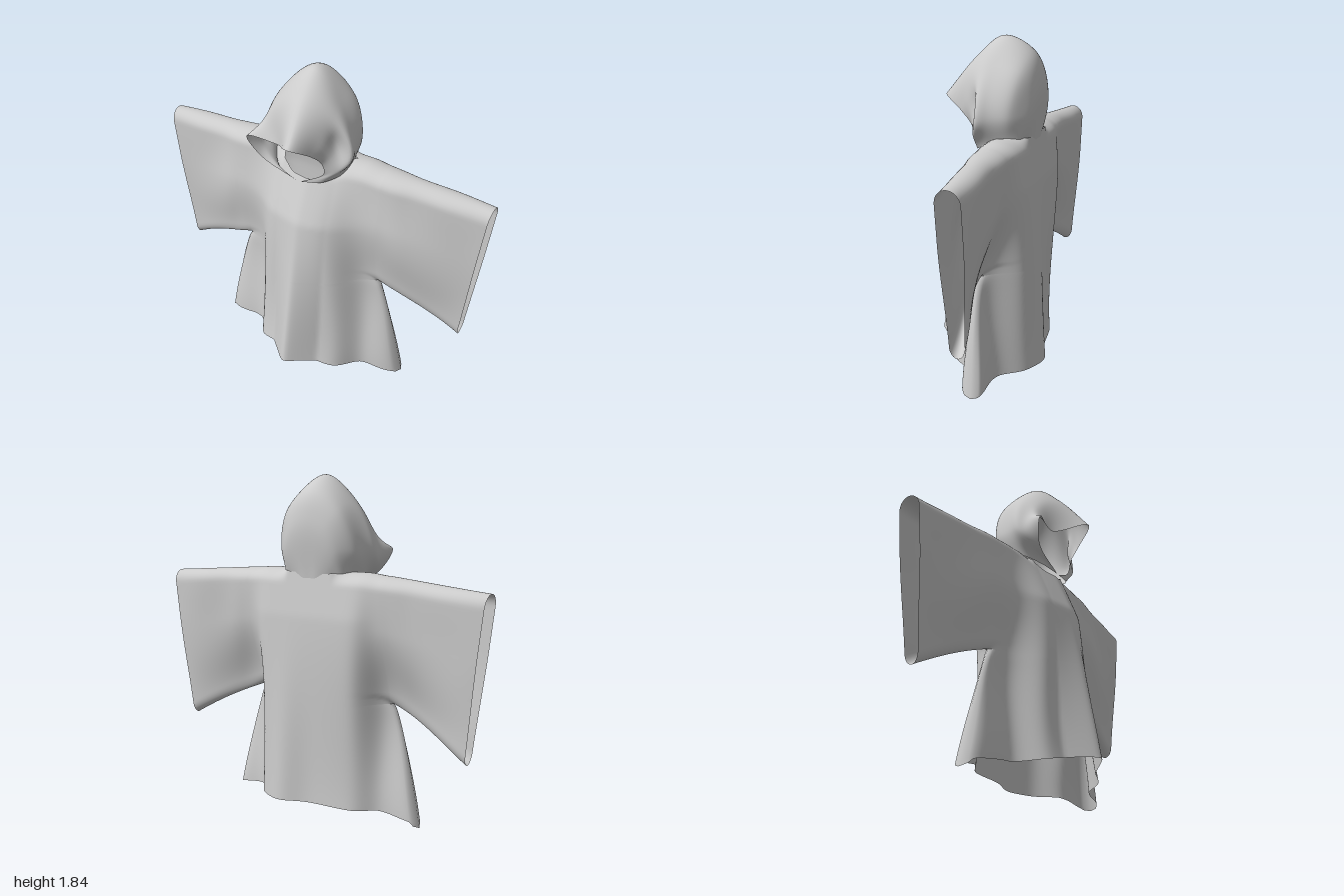
import * as THREE from 'three';
import { mergeGeometries, mergeVertices } from 'three/addons/utils/BufferGeometryUtils.js';

const { lerp, smoothstep, clamp } = THREE.MathUtils;
const ARMPIT_X = 0.43, ARMPIT_Y = 0.65, NECK = 0.24;
const CORE = 80, SLEEVE = 22; // columns across the torso and along one sleeve

// Grid surface from a point function of (column, row)
function grid(nu, nv, point, flip = false) {
  const pos = [], idx = [];
  for (let j = 0; j <= nv; j++) for (let i = 0; i <= nu; i++) pos.push(...point(i, j));
  for (let j = 0; j < nv; j++) for (let i = 0; i < nu; i++) {
    const a = j * (nu + 1) + i, b = a + 1, c = a + nu + 1, d = c + 1;
    if (flip) idx.push(a, c, b, b, c, d);
    else idx.push(a, b, c, b, d, c);
  }
  const g = new THREE.BufferGeometry();
  g.setAttribute('position', new THREE.Float32BufferAttribute(pos, 3));
  g.setIndex(idx);
  return g;
}

// Quarter-round closing of the cloth within r of a fold
const roundEdge = (d, r) => Math.sqrt(Math.max(0, 1 - Math.max(0, 1 - d / r) ** 2));

// Depth of the cloth: flat sleeves and side flaps with a full torso between them
function depth(x, y, half, edge, side) {
  const ax = Math.abs(x);
  const mid = lerp(lerp(-0.05, -0.11, smoothstep(y, 0.6, 1.3)), -0.135, smoothstep(ax, 0.43, 0.95));
  const hang = 1 - smoothstep(y, 0.1, 1.15);
  let full, bump;
  if (side > 0) {
    // front hangs from a central ridge, with a step at each side
    const off = Math.sqrt((x - 0.03) ** 2 + 0.0004) - 0.02;
    full = y > 1 ? lerp(0.17, 0.04, (y - 1) / 0.3) : 0.17 + (1 - y) * 0.184;
    full -= lerp(0.2, 1, hang) * (Math.min(off, 0.13) + 0.3 * Math.max(0, off - 0.13));
    bump = 1 / (1 + (ax / lerp(0.26, x > 0 ? 0.34 : 0.275, hang)) ** lerp(5, 12, hang));
  } else {
    // back is fullest left of the centre
    full = y > 1.1 ? lerp(-0.26, -0.22, (y - 1.1) / 0.24) : lerp(-0.33, -0.26, y / 1.1);
    const off2 = (x - 0.14) ** 2;
    full += hang * (0.05 * (1 - Math.exp(-off2 / 0.012)) + 0.25 * off2);
    bump = 1 / (1 + (ax / 0.35) ** 12);
  }
  const flat = mid + side * half;
  return mid + edge * (flat + bump * (full - flat) - mid);
}

const flapEdge = u => Math.sqrt(Math.max(0, 1 - Math.abs(u) ** 14));

// Torso above the armpits together with both sleeves
function upper(side) {
  const rows = 44;
  return grid(CORE + 2 * SLEEVE, rows, (i, j) => {
    const k = i - SLEEVE - CORE / 2, sign = Math.sign(k);
    const u = clamp(k / (CORE / 2), -1, 1);
    const s = Math.max(0, Math.abs(k) - CORE / 2) / SLEEVE;
    const t = 0.5 - 0.5 * Math.cos(Math.PI * j / rows);
    const x = s > 0 ? sign * lerp(ARMPIT_X, lerp(0.9, 1, t), s) : u * ARMPIT_X;
    const ax = Math.abs(x);
    const neck = smoothstep(1 - ax / NECK, 0, 0.8);
    const shoulder = lerp(1.34, 1.285, clamp((lerp(ARMPIT_X, 1, s) - 0.3) / 0.7, 0, 1) * smoothstep(ax, 0.3, 0.43));
    const top = shoulder - neck * (side > 0 ? 0.1 : 0.01);
    const bottom = lerp(ARMPIT_Y, 0.42, s) + 0.015 * Math.sin(s * Math.PI);
    const y = lerp(bottom, top, t);
    const topCap = lerp(roundEdge(top - y, 0.07), 1, Math.min(1, neck * 2));
    const low = roundEdge(y - bottom, 0.06);
    const lowCap = s > 0 ? low : Math.max(low, flapEdge(u));
    let half = lerp(lerp(0.025, 0.1, smoothstep(t, 0, 0.6)), lerp(0.04, 0.064, smoothstep(t, 0, 0.7)), s);
    // soft drape fold curving from shoulder to sleeve hem
    const r = Math.hypot(ax - 0.95, y - 1.3);
    half += 0.01 * Math.sin(r * 14) * smoothstep(s, 0, 0.3) * (1 - s);
    return [x, y, depth(x, y, half, topCap * lowCap, side)];
  }, side < 0);
}

// Flaring skirt below the armpits
function lower(side) {
  const rows = 26;
  return grid(CORE, rows, (i, j) => {
    const u = i / (CORE / 2) - 1, au = Math.abs(u);
    const middle = side > 0 ? lerp(0.13, 0.07, smoothstep(au, 0, 0.65)) : lerp(0.08, 0.07, smoothstep(au, 0, 0.65));
    const hem = middle - 0.03 * clamp((au - 0.65) / 0.3, 0, 1) - (u < 0 ? 0.04 : 0.015) * smoothstep(au, 0.94, 1);
    const y = lerp(hem, ARMPIT_Y, j / rows);
    const d = (ARMPIT_Y - y) / 0.6;
    const x = u * (ARMPIT_X + 0.165 * d ** 0.75);
    const half = lerp(0.025, 0.07, smoothstep(d, 0.1, 1));
    return [x, y, depth(x, y, half, flapEdge(u), side)];
  }, side < 0);
}

// Hood ribs from nape to brow; each rib: base, cheek, temple, crown
const RIBS = [
  [[0.12, 1.29, -0.2], [0.08, 1.29, -0.215], [0.04, 1.295, -0.225], [0, 1.295, -0.225]],
  [[0.18, 1.31, -0.18], [0.17, 1.45, -0.22], [0.11, 1.56, -0.242], [0, 1.6, -0.252]],
  [[0.21, 1.31, -0.11], [0.235, 1.45, -0.14], [0.165, 1.66, -0.18], [0, 1.76, -0.2]],
  [[0.21, 1.29, -0.01], [0.265, 1.44, -0.03], [0.175, 1.68, -0.04], [0.015, 1.84, -0.04]],
  [[0.13, 1.25, 0.07], [0.265, 1.4, 0.05], [0.2, 1.58, 0.07], [0.03, 1.725, 0.11]],
];
// Rim of the face opening: chin, right corner, brow point, tucked left side, chin
const RIM = [
  [-0.01, 1.23, 0.1], [-0.22, 1.32, 0.12], [-0.28, 1.45, 0.165], [-0.12, 1.44, 0.14], [0.05, 1.52, 0.28],
  [0.12, 1.45, 0.17], [0.14, 1.38, 0.1], [0.14, 1.31, 0.08], [0.01, 1.23, 0.1],
];

function hoodGeometry() {
  const nu = 64, nv = 44;
  const spline = points => new THREE.CatmullRomCurve3(points.map(p => new THREE.Vector3(...p)));
  const ribs = RIBS.map(rib => spline([
    ...rib.slice(0, 3).map(([x, y, z]) => [-x, y, z]), rib[3], ...rib.slice(0, 3).reverse(),
  ]));
  ribs.push(spline(RIM));
  const strands = [];
  for (let i = 0; i <= nu; i++) {
    strands.push(new THREE.CatmullRomCurve3(ribs.map(c => c.getPoint(i / nu))));
  }
  return grid(nu, nv, (i, j) => {
    const v = j / nv, a = i / nu, p = strands[i].getPoint(v);
    // shallow creases in the sides and one deep fold at the left temple
    const w = Math.sin(Math.PI * a) * Math.sin(Math.PI * v) * Math.abs(2 * a - 1);
    const crease = 1 + 0.08 * w * Math.sin(v * 18 + a * 9);
    const fold = Math.exp(-(((a - 0.74) / 0.09) ** 2) - ((v - 0.84) / 0.07) ** 2);
    return [p.x * crease - 0.035 * fold, p.y, p.z - 0.03 * fold];
  });
}

export function createModel() {
  const group = new THREE.Group();
  const cloth = new THREE.MeshStandardMaterial({ color: 0xcccccc, side: THREE.DoubleSide });
  const add = (name, geometry) => {
    geometry.computeVertexNormals();
    const mesh = new THREE.Mesh(geometry, cloth);
    mesh.name = name;
    group.add(mesh);
  };
  // Robe with sleeves, welded into one smooth cloth
  add('robe', mergeVertices(mergeGeometries([upper(1), upper(-1), lower(1), lower(-1)]), 1e-4));
  // Hood with overhanging brow
  add('hood', hoodGeometry());
  return group;
}
